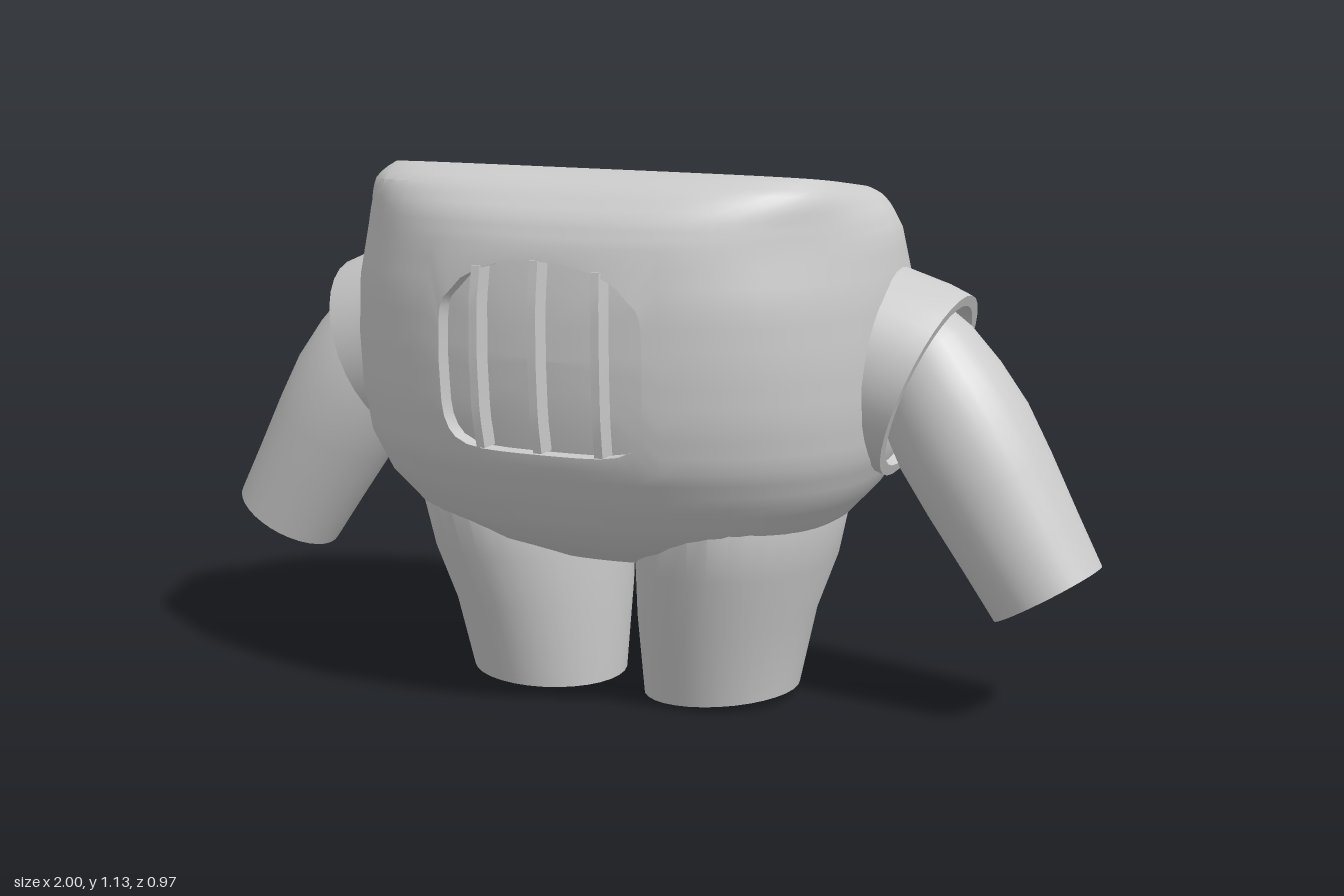
import * as THREE from 'three';
import { mergeGeometries, toCreasedNormals } from 'three/addons/utils/BufferGeometryUtils.js';

const material = new THREE.MeshStandardMaterial({ color: 0xcccccc });

// Surface from a grid of points; skip(i, j) leaves out a cell
function grid(rows, cols, point, skip = () => false) {
  const pos = [], index = [], w = cols + 1;
  for (let i = 0; i <= rows; i++)
    for (let j = 0; j <= cols; j++) pos.push(...point(i, j));
  for (let i = 0; i < rows; i++)
    for (let j = 0; j < cols; j++) {
      if (skip(i, j)) continue;
      const a = i * w + j, b = a + 1, c = b + w, d = a + w;
      index.push(a, b, c, a, c, d);
    }
  const g = new THREE.BufferGeometry();
  g.setAttribute('position', new THREE.Float32BufferAttribute(pos, 3));
  g.setIndex(index);
  return g;
}

function part(name, geometry, crease = 0.6) {
  const mesh = new THREE.Mesh(toCreasedNormals(geometry, crease), material);
  mesh.name = name;
  return mesh;
}

// Body sections: y, half width, front z, back z, tilt, roundness exponent
const sections = [
  [0.27, 0.03, 0.02, 0.02, 0, 2.3],
  [0.30, 0.22, 0.17, 0.17, 0, 2.3],
  [0.35, 0.38, 0.285, 0.29, 0, 2.3],
  [0.40, 0.465, 0.35, 0.35, 0, 2.3],
  [0.47, 0.53, 0.405, 0.40, 0, 2.3],
  [0.55, 0.565, 0.45, 0.44, 0, 2.3],
  [0.65, 0.58, 0.472, 0.468, 0, 2.3],
  [0.76, 0.585, 0.48, 0.48, 0, 2.3],
  [0.88, 0.58, 0.48, 0.468, 0, 2.3],
  [0.99, 0.56, 0.465, 0.42, 0, 2.3],
  [1.03, 0.54, 0.44, 0.395, 0.03, 2.5],
  [1.065, 0.51, 0.38, 0.37, 0.08, 3.2],
  [1.09, 0.47, 0.275, 0.345, 0.13, 4.5],   // outer rim
  [1.088, 0.425, 0.22, 0.285, 0.13, 4.5],  // inner rim
  [0.92, 0.385, 0.205, 0.27, 0.08, 4.5],   // cavity floor
  [0.92, 0.002, 0.002, 0.002, 0.08, 4.5],
];
const STEP = 5 * Math.PI / 180; // angle per column
const SUB = 3;                  // rows per section

// Point on the body: v runs along the sections, u counts columns from the front
function bodyPoint(v, u) {
  const i = Math.min(Math.floor(v), sections.length - 2), t = v - i;
  const [y, hx, zf, zb, tilt, p] = sections[i].map((s, k) => s + (sections[i + 1][k] - s) * t);
  const s = Math.sin(u * STEP), c = Math.cos(u * STEP);
  const r = 1 / Math.pow(Math.abs(s) ** p + Math.abs(c) ** p, 1 / p);
  const z = c * r * (c > 0 ? zf : zb);
  const x = s * r * hx * (1 + tilt * z * 1.5);
  return [x, y + tilt * z, z];
}

// Body shell with a recessed chest window
function bodyGeometry() {
  const V0 = 5, V1 = 9, U = 5, half = (V1 - V0) / 2, mid = (V0 + V1) / 2;
  const shell = grid((sections.length - 1) * SUB, 72,
    (i, j) => bodyPoint(i / SUB, j - 36),
    (i, j) => i >= V0 * SUB && i < V1 * SUB && j >= 36 - U && j < 36 + U);

  // border of the cut-out, counter-clockwise
  const border = [], nu = 2 * U, nv = (V1 - V0) * SUB;
  for (let k = 0; k < nu; k++) border.push([-1 + 2 * k / nu, -1]);
  for (let k = 0; k < nv; k++) border.push([1, -1 + 2 * k / nv]);
  for (let k = 0; k < nu; k++) border.push([1 - 2 * k / nu, 1]);
  for (let k = 0; k < nv; k++) border.push([-1, 1 - 2 * k / nv]);

  // rings: border, window edge, recess edge, then the back panel: scale, depth
  const rings = [[1, 0], [0.87, 0], [0.87, 0.04], [0.6, 0.04], [0.3, 0.04], [0.005, 0.04]];
  const recess = grid(rings.length - 1, border.length, (k, j) => {
    let [a, b] = border[j % border.length];
    if (k > 0) {
      const r = rings[k][0] / Math.pow(a ** 6 + b ** 6, 1 / 6);
      const arch = b > 0 ? 1 - 0.3 * a * a : 1;
      a *= r;
      b *= r * arch;
    }
    const [x, y, z] = bodyPoint(mid + b * half, a * U);
    return [x, y, z - rings[k][1]];
  });
  return mergeGeometries([shell, recess]);
}

// Upright bar that follows the curve of the chest
function barGeometry(u, top) {
  const g = new THREE.BoxGeometry(0.018, 1, 0.045, 1, 12, 1), p = g.attributes.position;
  for (let i = 0; i < p.count; i++) {
    const v = 5.3 + (p.getY(i) + 0.5) * (top - 5.3);
    const [x, y, z] = bodyPoint(v, u);
    p.setXYZ(i, x + p.getX(i), y, z - 0.017 + p.getZ(i));
  }
  return g;
}

// Leg sections: y, centre x, half width, half depth
const legSections = [
  [0.01, 0.203, 0.001, 0.001],
  [0.01, 0.203, 0.163, 0.18],
  [0.18, 0.215, 0.182, 0.233],
  [0.30, 0.237, 0.203, 0.27],
  [0.42, 0.25, 0.213, 0.30],
  [0.60, 0.25, 0.19, 0.24],
];
const legGeometry = (side) => grid(legSections.length - 1, 32, (i, j) => {
  const [y, cx, rx, rz] = legSections[i], a = j / 32 * Math.PI * 2;
  const dx = Math.sin(a) * rx;
  const slant = i < 2 ? 0.06 * dx * side : 0; // sole rises outwards
  return [cx * side + dx, y + slant, Math.cos(a) * rz];
});

// Turned part whose axis points along (dx, dy)
function turned(name, profile, x, y, dx, dy) {
  const g = new THREE.LatheGeometry(profile.map(([r, h]) => new THREE.Vector2(r, h)), 32);
  const mesh = part(name, g);
  mesh.position.set(x, y, -0.047);
  mesh.rotation.z = Math.atan2(-dx, dy);
  return mesh;
}

const sleeveProfile = [[0.195, -0.2], [0.205, -0.05], [0.203, 0], [0.18, 0], [0.17, -0.1], [0, -0.1]];
const armProfile = [[0, 0], [0.122, 0], [0.13, 0.12], [0.14, 0.25], [0.145, 0.36], [0.136, 0.46],
  [0.118, 0.55], [0.09, 0.62], [0.05, 0.66], [0, 0.675]];

export function createModel() {
  const model = new THREE.Group();
  model.name = 'torsoWithLimbs';
  model.add(part('body', bodyGeometry()));

  const grille = new THREE.Group();
  grille.name = 'chestGrille';
  for (const u of [-2.6, 0, 2.6]) grille.add(part('grilleBar', barGeometry(u, u ? 8.6 : 8.75)));
  model.add(grille);

  for (const [side, label] of [[1, 'left'], [-1, 'right']]) {
    model.add(part(label + 'Leg', legGeometry(side)));
    model.add(turned(label + 'Sleeve', sleeveProfile, 0.635 * side, 0.68, 0.93 * side, -0.37));
    model.add(turned(label + 'Arm', armProfile, 0.895 * side, 0.273, -0.51 * side, 0.86));
  }
  return model;
}
